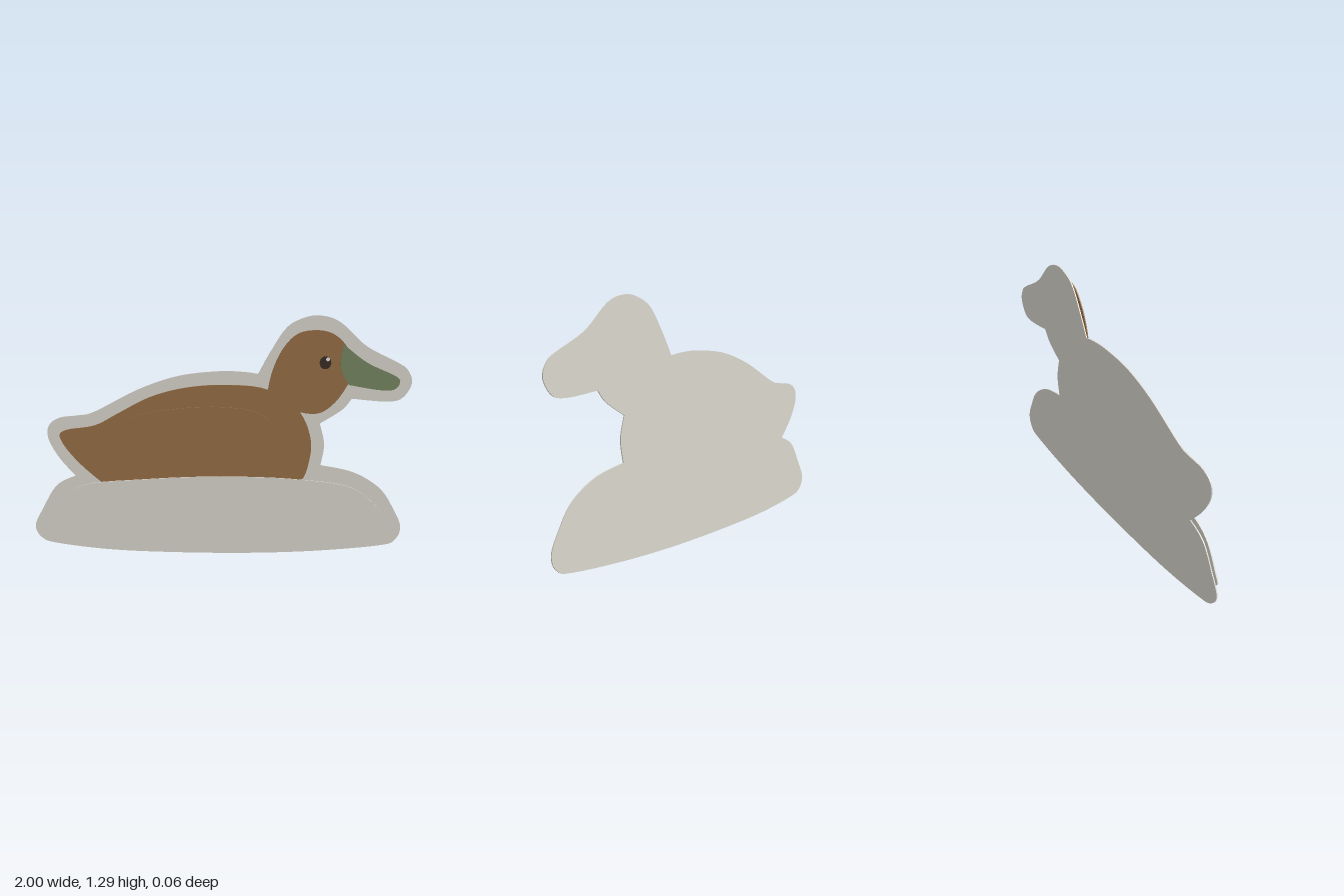
import * as THREE from 'three';

const mat = (name, color) => new THREE.MeshStandardMaterial({ name, color });

// Outline made of smooth runs; every run ends in a corner, the last one at the start.
function outline(start, ...runs) {
  const shape = new THREE.Shape();
  shape.moveTo(...start);
  for (const run of runs) shape.splineThru(run.map(([x, y]) => new THREE.Vector2(x, y)));
  return shape;
}

// Fully smooth closed outline.
function smoothOutline(points) {
  const curve = new THREE.CatmullRomCurve3(points.map(([x, y]) => new THREE.Vector3(x, y, 0)), true);
  return new THREE.Shape(curve.getPoints(points.length * 5).slice(0, -1).map(p => new THREE.Vector2(p.x, p.y)));
}

function ellipse(x, y, rx, ry) {
  const shape = new THREE.Shape();
  shape.absellipse(x, y, rx, ry, 0, Math.PI * 2);
  return shape;
}

export function createModel() {
  const group = new THREE.Group();
  const paper = mat('pale grey', 0xdad6cd);
  const brown = mat('feather brown', 0x976e45);
  const green = mat('bill green', 0x748560);
  const dark = mat('eye dark', 0x372b22);
  const white = mat('eye white', 0xf4f2ee);

  // Thin cut-out plate whose back lies at z
  const plate = (name, shape, z, depth, material) => {
    const geometry = new THREE.ExtrudeGeometry(shape, { depth, bevelEnabled: false, curveSegments: 5 });
    const mesh = new THREE.Mesh(geometry, material);
    mesh.name = name;
    mesh.position.z = z;
    group.add(mesh);
  };

  // Backing silhouette: tail and back, head, breast, then base
  plate('backing', outline([-0.77, 0.44],
    [[-0.85, 0.535], [-0.905, 0.64], [-0.9, 0.715], [-0.84, 0.757], [-0.74, 0.77], [-0.655, 0.79],
      [-0.42, 0.91], [-0.21, 0.98], [0, 1.004], [0.13, 1.0], [0.2, 0.99]],
    [[0.265, 1.11], [0.345, 1.23], [0.435, 1.28], [0.52, 1.29], [0.62, 1.255], [0.755, 1.135],
      [0.92, 1.05], [0.975, 1.01], [0.998, 0.94], [0.95, 0.862], [0.865, 0.845], [0.69, 0.86]],
    [[0.64, 0.8], [0.527, 0.727]],
    [[0.553, 0.615], [0.537, 0.5]],
    [[0.715, 0.46], [0.86, 0.37], [0.94, 0.25], [0.98, 0.155], [0.955, 0.08], [0.865, 0.045],
      [0.46, 0.01], [0, 0], [-0.53, 0.015], [-0.875, 0.055], [-0.97, 0.09], [-1, 0.16],
      [-0.955, 0.255], [-0.875, 0.385], [-0.77, 0.44]]), -0.032, 0.006, paper);

  // Body, running down behind the base panel
  plate('body', smoothOutline([[-0.84, 0.675], [-0.805, 0.695], [-0.655, 0.72], [-0.53, 0.785],
    [-0.365, 0.87], [-0.18, 0.92], [0.035, 0.935], [0.25, 0.91], [0.42, 0.79], [0.48, 0.64],
    [0.475, 0.535], [0.435, 0.42], [0.3, 0.325], [0, 0.295], [-0.35, 0.305], [-0.52, 0.335],
    [-0.64, 0.42], [-0.77, 0.545], [-0.835, 0.64]]), -0.012, 0.008, brown);

  plate('wing', smoothOutline([[-0.675, 0.605], [-0.62, 0.685], [-0.475, 0.765], [-0.23, 0.81],
    [0.01, 0.82], [0.195, 0.79], [0.29, 0.71], [0.29, 0.59], [0.21, 0.5], [0.01, 0.47],
    [-0.26, 0.46], [-0.475, 0.485], [-0.635, 0.54]]), -0.002, 0.007, brown);

  // Head with cheek spot, bill and eye
  plate('head', smoothOutline([[0.25, 0.88], [0.265, 0.99], [0.32, 1.12], [0.395, 1.2], [0.49, 1.22],
    [0.57, 1.205], [0.63, 1.16], [0.68, 1.08], [0.69, 1.0], [0.66, 0.94], [0.595, 0.845],
    [0.515, 0.79], [0.395, 0.8], [0.265, 0.84]]), 0.007, 0.006, brown);
  plate('cheek', ellipse(0.48, 0.963, 0.04, 0.023), 0.017, 0.005, brown);
  plate('bill', outline([0.63, 1.15],
    [[0.755, 1.055], [0.905, 0.985], [0.925, 0.95], [0.895, 0.915], [0.81, 0.915], [0.665, 0.94]],
    [[0.62, 1.03], [0.63, 1.15]]), 0.014, 0.005, green);
  plate('eye', ellipse(0.54, 1.055, 0.03, 0.034), 0.019, 0.005, dark);
  plate('eyeHighlight', ellipse(0.552, 1.073, 0.01, 0.01), 0.024, 0.002, white);

  // Front panel of the base
  plate('basePanel', smoothOutline([[-0.93, 0.145], [-0.9, 0.22], [-0.82, 0.35], [-0.715, 0.405],
    [-0.42, 0.435], [0, 0.452], [0.435, 0.435], [0.7, 0.39], [0.835, 0.285], [0.905, 0.18], [0.91, 0.14],
    [0.865, 0.12], [0.49, 0.085], [0, 0.075], [-0.53, 0.09], [-0.875, 0.12]]), 0.026, 0.006, paper);

  return group;
}
